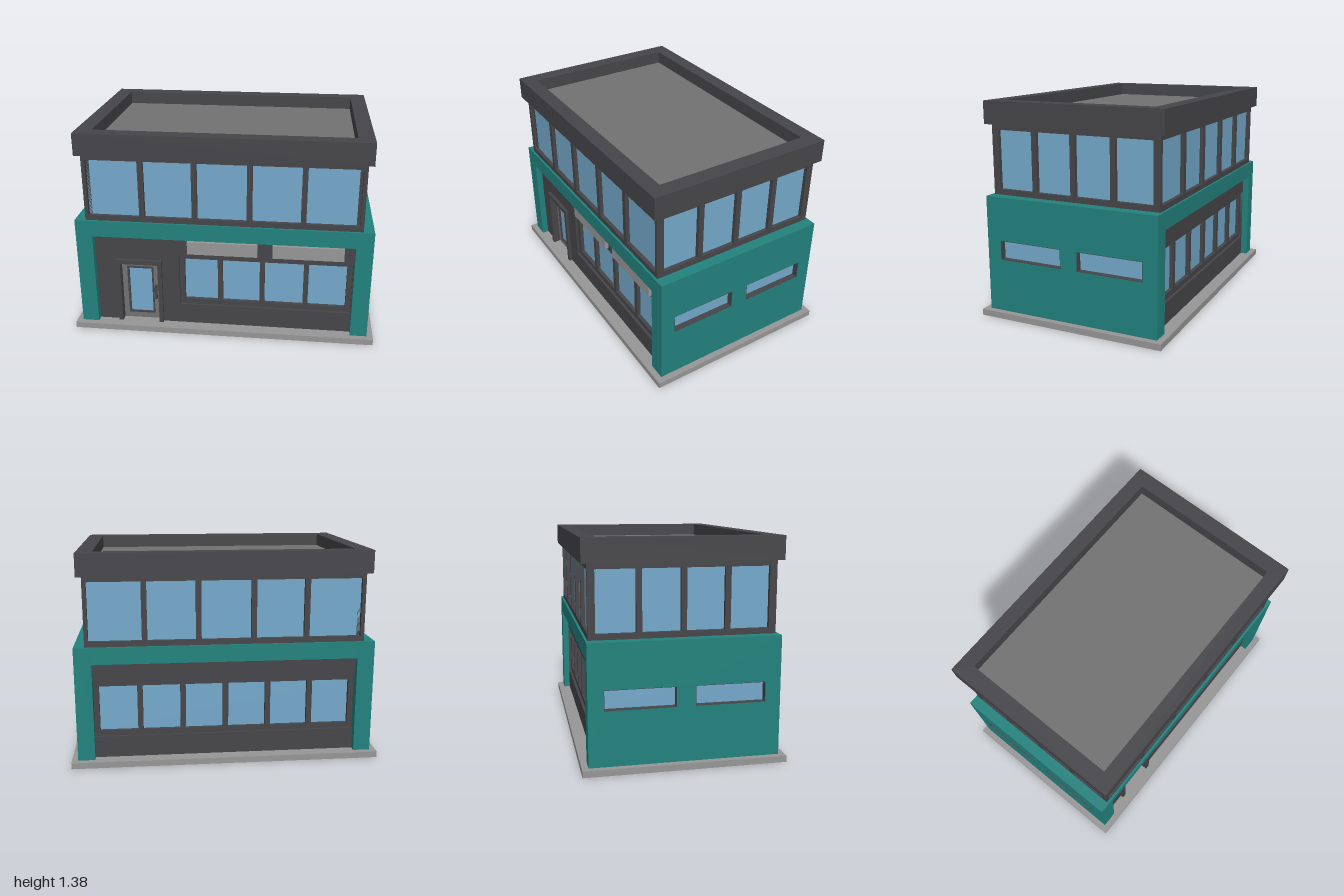
import * as THREE from 'three';

const mat = (name, color) => new THREE.MeshStandardMaterial({ name, color });

export function createModel() {
  const teal = mat('teal cladding', 0x22827e);
  const dark = mat('charcoal', 0x464549);
  const blue = mat('blue glass', 0x74a9cb);
  const light = mat('light grey', 0x989798);
  const mid = mat('mid grey', 0x727273);

  const model = new THREE.Group();
  model.name = 'building';

  // Box given by its extents
  function box(parent, name, m, x0, x1, y0, y1, z0, z1) {
    const mesh = new THREE.Mesh(new THREE.BoxGeometry(x1 - x0, y1 - y0, z1 - z0), m);
    mesh.position.set((x0 + x1) / 2, (y0 + y1) / 2, (z0 + z1) / 2);
    mesh.name = name;
    parent.add(mesh);
    return mesh;
  }

  const trace = (path, [x0, x1, y0, y1]) =>
    path.moveTo(x0, y0).lineTo(x1, y0).lineTo(x1, y1).lineTo(x0, y1).closePath();

  // Upright panel with rectangular holes, from z0 (back) to z1 (front)
  function panel(parent, name, m, rect, holes, z0, z1) {
    const shape = trace(new THREE.Shape(), rect);
    holes.forEach(h => shape.holes.push(trace(new THREE.Path(), h)));
    const geo = new THREE.ExtrudeGeometry(shape, { depth: z1 - z0, bevelEnabled: false });
    geo.translate(0, 0, z0);
    const mesh = new THREE.Mesh(geo, m);
    mesh.name = name;
    parent.add(mesh);
    return mesh;
  }

  // Panes left between mullions of width w
  function panes([x0, x1, y0, y1], mullions, w) {
    const edges = [x0, ...mullions.flatMap(c => [c - w / 2, c + w / 2]), x1];
    const out = [];
    for (let i = 0; i < edges.length; i += 2) out.push([edges[i], edges[i + 1], y0, y1]);
    return out;
  }

  // Framed row of windows: frame face at zFrame, glass face at zGlass
  function windowRow(parent, name, rect, inner, mullions, w, zFrame, zGlass) {
    panel(parent, name + 'Frame', dark, rect, panes(inner, mullions, w), zGlass - 0.02, zFrame);
    const [x0, x1, y0, y1] = inner;
    box(parent, name + 'Glass', blue, x0, x1, y0, y1, zGlass - 0.008, zGlass);
  }

  // Group facing one side of the building
  function facing(name, angle) {
    const g = new THREE.Group();
    g.name = name;
    g.rotation.y = angle;
    model.add(g);
    return g;
  }
  const front = facing('frontFacade', 0);
  const back = facing('backFacade', Math.PI);
  const sides = [facing('leftFacade', Math.PI / 2), facing('rightFacade', -Math.PI / 2)];

  // Base slab and the teal portal top
  box(model, 'baseSlab', light, -1, 1, 0, 0.04, -0.625, 0.625);
  box(model, 'portalTop', teal, -0.85, 0.85, 0.675, 0.785, -0.585, 0.585);

  // Side walls with lined slot windows, and the upper side windows
  for (const side of sides) {
    const slots = [[-0.49, -0.057, 0.38, 0.505], [0.057, 0.49, 0.38, 0.505]];
    panel(side, 'sideWall', teal, [-0.585, 0.585, 0.04, 0.785], slots, 0.85, 0.96);
    for (const [x0, x1, y0, y1] of slots) {
      const t = 0.003;
      panel(side, 'slotLining', dark, [x0, x1, y0, y1],
        [[x0 + t, x1 - t, y0 + t, y1 - t]], 0.9, 0.959);
      box(side, 'slotGlass', blue, x0, x1, y0, y1, 0.912, 0.92);
    }
    windowRow(side, 'upperSideWindow', [-0.545, 0.545, 0.785, 1.23],
      [-0.544, 0.544, 0.82, 1.195], [-0.268, 0, 0.268], 0.035, 0.89, 0.865);
  }

  // Upper windows on front and back
  for (const face of [front, back]) {
    windowRow(face, 'upperWindow', [-0.89, 0.89, 0.785, 1.23],
      [-0.865, 0.865, 0.82, 1.195], [-0.515, -0.175, 0.175, 0.515], 0.035, 0.57, 0.545);
  }

  // Ground floor front: wall, windows and sign boards
  panel(front, 'frontWall', dark, [-0.86, 0.86, 0.02, 0.69],
    [[-0.69, -0.43, 0.03, 0.475], [-0.29, 0.845, 0.18, 0.55]], 0.48, 0.54);
  windowRow(front, 'frontWindow', [-0.29, 0.85, 0.18, 0.55],
    [-0.255, 0.81, 0.215, 0.515], [-0.018, 0.26, 0.547], 0.033, 0.522, 0.497);
  box(front, 'signBoard', light, -0.23, 0.228, 0.568, 0.655, 0.53, 0.565);
  box(front, 'signBoard', light, 0.325, 0.783, 0.568, 0.655, 0.53, 0.565);

  // Entrance door
  const door = new THREE.Group();
  door.name = 'door';
  front.add(door);
  panel(door, 'doorSurround', dark, [-0.715, -0.405, 0.02, 0.5],
    [[-0.685, -0.433, 0.03, 0.47]], 0.49, 0.562);
  panel(door, 'doorLeaf', mid, [-0.685, -0.433, 0.04, 0.47],
    [[-0.65, -0.472, 0.08, 0.435]], 0.485, 0.51);
  panel(door, 'doorGlassFrame', dark, [-0.65, -0.472, 0.08, 0.435],
    [[-0.636, -0.483, 0.092, 0.421]], 0.485, 0.513);
  box(door, 'doorGlass', blue, -0.64, -0.48, 0.09, 0.425, 0.495, 0.503);
  box(door, 'doorHandle', dark, -0.465, -0.45, 0.2, 0.3, 0.508, 0.53);

  // Ground floor back: wall and full-width windows
  panel(back, 'backWall', dark, [-0.86, 0.86, 0.02, 0.69],
    [[-0.85, 0.85, 0.18, 0.55]], 0.48, 0.54);
  windowRow(back, 'backWindow', [-0.85, 0.85, 0.18, 0.55],
    [-0.815, 0.815, 0.215, 0.515], [-2, -1, 0, 1, 2].map(i => i * 0.277), 0.035, 0.522, 0.497);

  // Parapet ring laid flat, with the sunken roof and its underside
  const parapet = panel(model, 'parapet', dark, [-0.922, 0.922, -0.605, 0.605],
    [[-0.82, 0.82, -0.51, 0.51]], 1.23, 1.375);
  parapet.rotation.x = -Math.PI / 2;
  box(model, 'roof', mid, -0.83, 0.83, 1.24, 1.29, -0.52, 0.52);

  return model;
}
